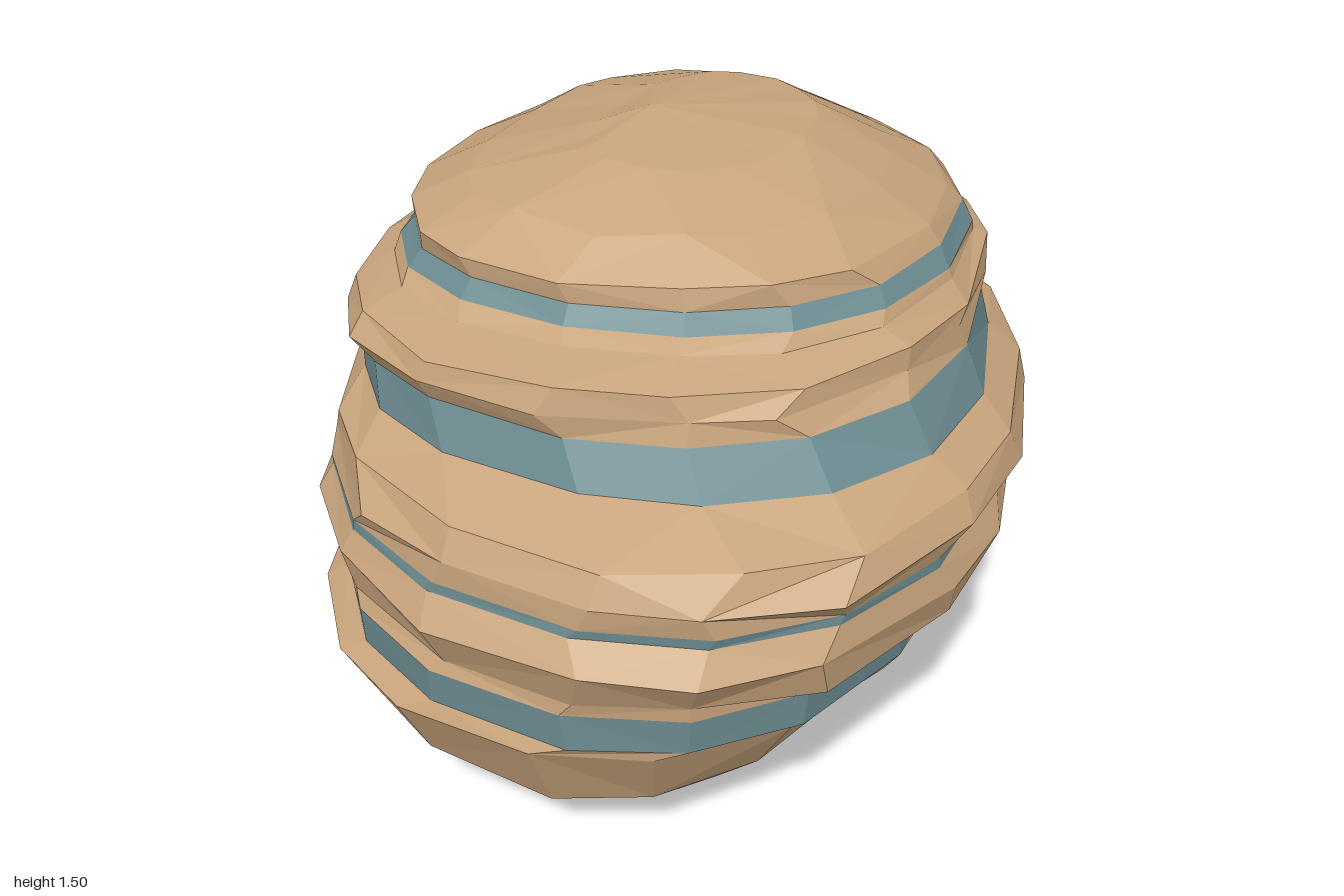
import * as THREE from 'three';

const SIDES = 18;

// Cross-sections from bottom to top: y, xMin, xMax, zMin, zMax, roughness
const RINGS = [
  [0.00, -0.20, 0.11, -0.14, 0.27, 0.6],
  [0.045, -0.37, 0.20, -0.34, 0.48, 0.6],
  [0.125, -0.55, 0.42, -0.68, 0.78, 1],
  [0.25, -0.65, 0.56, -0.94, 0.90, 1],
  [0.475, -0.79, 0.70, -0.99, 0.99, 0.4],
  [0.51, -0.77, 0.70, -0.94, 0.97, 0.2], // 5: lower stripe
  [0.60, -0.78, 0.71, -0.91, 0.97, 0.2],
  [0.63, -0.78, 0.77, -0.93, 0.96, 1],
  [0.71, -0.82, 0.81, -0.97, 1.00, 1],
  [0.775, -0.79, 0.78, -0.92, 0.96, 0.2], // 9: thin stripe
  [0.80, -0.79, 0.78, -0.91, 0.96, 0.2],
  [0.855, -0.78, 0.82, -0.92, 0.96, 1],
  [0.92, -0.77, 0.79, -0.89, 0.91, 1],
  [0.975, -0.72, 0.72, -0.79, 0.78, 0.3], // 13: wide stripe
  [1.075, -0.70, 0.67, -0.76, 0.74, 0.3],
  [1.13, -0.71, 0.66, -0.82, 0.76, 1],
  [1.175, -0.67, 0.65, -0.78, 0.74, 1],
  [1.205, -0.61, 0.61, -0.72, 0.62, 0.4],
  [1.23, -0.61, 0.60, -0.71, 0.58, 0.2], // 18: upper stripe
  [1.27, -0.58, 0.57, -0.70, 0.55, 0.2],
  [1.32, -0.58, 0.54, -0.64, 0.55, 0.7],
  [1.39, -0.45, 0.42, -0.52, 0.45, 1],
  [1.46, -0.20, 0.24, -0.36, 0.25, 0.5],
];

// Repeatable pseudo-random value in -1..1
function noise(a, b, c) {
  const s = Math.sin(a * 127.1 + b * 311.7 + c * 74.7) * 43758.5453;
  return (s - Math.floor(s)) * 2 - 1;
}

// Sideways skew along z: slight in the base, most in the middle, none near the top
function skewAt(y) {
  if (y < 0.5) return 0.06;
  return THREE.MathUtils.lerp(0.13, -0.03, THREE.MathUtils.smoothstep(y, 0.95, 1.25));
}

// Slope of a layer from back to front
function tiltAt(y) {
  if (y < 0.4) return 0;
  if (y < 0.7) return -0.015;
  return y < 0.95 ? 0.018 : 0.03;
}

// One point on ring i: a rounded egg shape with skew, tilt and roughness
function ringPoint(i, j) {
  const [y, x0, x1, z0, z1, rough] = RINGS[i];
  const k = j % SIDES;
  const t = ((k + 0.22 * rough * noise(i, k, 1)) / SIDES) * Math.PI * 2;
  const round = (v) => Math.sign(v) * Math.abs(v) ** 0.88;
  const r = 1 + 0.013 * rough * noise(i, k, 2);
  const halfX = (x1 - x0) / 2;
  const dx = round(Math.cos(t)) * r * halfX;
  const dz = round(Math.sin(t)) * r * (z1 - z0) / 2;
  const bow = (y > 0.95 ? -0.17 : -0.08) * halfX * Math.sin(t) ** 2;
  return [
    (x0 + x1) / 2 + dx + bow + skewAt(y) * dz,
    Math.max(0, y + tiltAt(y) * dz + 0.012 * rough * noise(i, k, 3)),
    (z0 + z1) / 2 + dz,
  ];
}

// Faceted skin between two rings, closed at an end by an optional centre point
function layer(name, from, to, material, bottom, top) {
  const pos = [];
  const tri = (...pts) => pts.forEach((p) => pos.push(...p));
  for (let j = 0; j < SIDES; j++) {
    for (let i = from; i < to; i++) {
      const a = ringPoint(i, j), b = ringPoint(i, j + 1);
      const c = ringPoint(i + 1, j), d = ringPoint(i + 1, j + 1);
      if ((i + j) % 2) { tri(a, c, b); tri(b, c, d); }
      else { tri(a, c, d); tri(a, d, b); }
    }
    if (bottom) tri(bottom, ringPoint(from, j), ringPoint(from, j + 1));
    if (top) tri(top, ringPoint(to, j + 1), ringPoint(to, j));
  }
  const geometry = new THREE.BufferGeometry();
  geometry.setAttribute('position', new THREE.Float32BufferAttribute(pos, 3));
  geometry.computeVertexNormals();
  const mesh = new THREE.Mesh(geometry, material);
  mesh.name = name;
  return mesh;
}

export function createModel() {
  const model = new THREE.Group();
  model.name = 'stripedBoulder';
  const stone = new THREE.MeshStandardMaterial({ color: 0xc8a47c, flatShading: true });
  const stripe = new THREE.MeshStandardMaterial({ color: 0x6b8b90, flatShading: true });
  const last = RINGS.length - 1;

  // Stone layers alternate with blue-grey mineral stripes
  model.add(
    layer('boulderBase', 0, 5, stone, [-0.04, 0, 0.06]),
    layer('lowerStripe', 5, 6, stripe),
    layer('lowerLayer', 6, 9, stone),
    layer('thinStripe', 9, 10, stripe),
    layer('middleLayer', 10, 13, stone),
    layer('wideStripe', 13, 14, stripe),
    layer('upperLayer', 14, 18, stone),
    layer('upperStripe', 18, 19, stripe),
    layer('boulderCap', 19, last, stone, null, [-0.1, 1.495, 0]),
  );
  return model;
}
